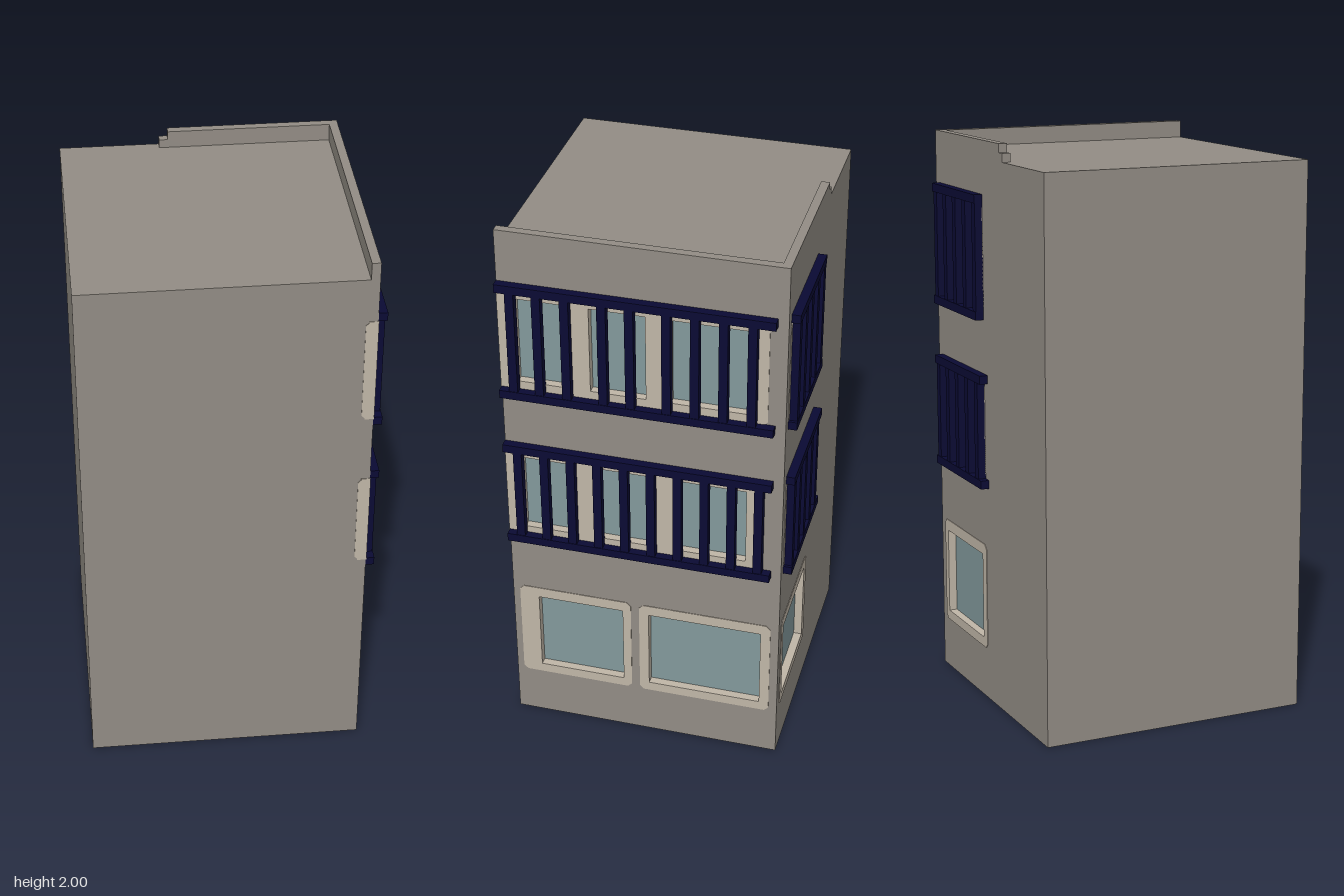
import * as THREE from 'three';

const mat = (name, color, extra = {}) => {
  const m = new THREE.MeshStandardMaterial({ color, ...extra });
  m.name = name;
  return m;
};

export function createModel() {
  const stone = mat('stone', 0x938d85);
  const trim = mat('cream trim', 0xc1b7a8);
  const glass = mat('window glass', 0x839a9c);
  const iron = mat('dark blue railing', 0x0a0a34);
  const T = 0.03; // wall and railing thickness

  const add = (parent, name, geometry, material, x = 0, y = 0, z = 0) => {
    const m = new THREE.Mesh(geometry, material);
    m.name = name;
    m.position.set(x, y, z);
    parent.add(m);
    return m;
  };
  // Box given by its lower and upper corners
  const box = (parent, name, material, [x0, y0, z0], [x1, y1, z1]) =>
    add(parent, name, new THREE.BoxGeometry(x1 - x0, y1 - y0, z1 - z0), material,
      (x0 + x1) / 2, (y0 + y1) / 2, (z0 + z1) / 2);

  // Rectangle with cut corners; the left corners stay square when cl = 0
  const outline = (u0, u1, y0, y1, c, cl = c) => [
    [u0 + cl, y0], [u1 - c, y0], [u1, y0 + c], [u1, y1 - c],
    [u1 - c, y1], [u0 + cl, y1], [u0, y1 - cl], [u0, y0 + cl],
  ];
  const rect = (u0, u1, y0, y1) => [[u0, y0], [u1, y0], [u1, y1], [u0, y1]];
  const toPath = (pts, P = THREE.Path) => new P(pts.map(([u, y]) => new THREE.Vector2(u, y)));
  const slab = (pts, holes, depth) => {
    const s = toPath(pts, THREE.Shape);
    s.holes = holes.map((h) => toPath(h));
    return new THREE.ExtrudeGeometry(s, { depth, bevelEnabled: false });
  };

  // Windowed wall: u runs along the wall, z points outwards
  const facade = (name, pts, windows, railings) => {
    const g = new THREE.Group();
    g.name = name;
    const g2 = 0.003;
    const holes = windows.flatMap((w) => w.panes.map(([a, b]) =>
      rect(a - g2, b + g2, w.y[0] - g2, w.y[1] + g2)));
    add(g, 'wall', slab(pts, holes, T), stone);
    for (const w of windows) {
      const panes = w.panes.map(([a, b]) => rect(a, b, ...w.y));
      const [u0, u1, y0, y1] = w.frame;
      add(g, 'windowFrame', slab(outline(u0, u1, y0, y1, 0.015, w.wraps ? 0 : 0.015), panes, T + 0.002), trim);
      for (const [a, b] of w.panes)
        box(g, 'windowPane', glass, [a, w.y[0], -0.002], [b, w.y[1], 0.003]);
    }
    for (const r of railings) {
      const [u0, u1] = r.u;
      const [y0, y1] = r.y;
      box(g, 'bottomRail', iron, [u0, y0, T], [u1, y0 + 0.03, 2 * T]);
      box(g, 'topRail', iron, [u0, y1 - 0.03, T], [u1, y1, 2 * T]);
      for (const u of r.bars)
        box(g, 'railingBar', iron, [u - 0.015, y0 + 0.03, T], [u + 0.015, y1 - 0.03, 2 * T - 0.002]);
    }
    return g;
  };

  const model = new THREE.Group();
  model.name = 'cornerBuilding';
  box(model, 'buildingCore', stone, [-0.5, 0, -0.44], [0.44, 1.94, 0.5]);

  const lowGlass = [0.22, 0.53], midGlass = [0.84, 1.13], topGlass = [1.44, 1.755];
  const midRail = [0.785, 1.19], topRail = [1.38, 1.815];

  // Side wall with its parapet
  const side = facade('sideFacade', rect(-0.5, 0.47, 0, 2), [
    { y: lowGlass, frame: [-0.475, -0.065, 0.185, 0.57], panes: [[-0.405, -0.095]] },
    { y: lowGlass, frame: [-0.035, 0.44, 0.185, 0.57], panes: [[0, 0.405]] },
    { y: midGlass, frame: [-0.502, 0.38, 0.81, 1.16], wraps: true,
      panes: [[-0.44, -0.27], [-0.165, 0], [0.115, 0.345]] },
    { y: topGlass, frame: [-0.502, 0.41, 1.405, 1.785], wraps: true,
      panes: [[-0.44, -0.27], [-0.19, 0], [0.085, 0.345]] },
  ], [
    { u: [-0.5, 0.435], y: midRail, bars: Array.from({ length: 10 }, (_, i) => -0.45 + i * 0.0935) },
    { u: [-0.5, 0.435], y: topRail, bars: [-0.45, -0.36, -0.265, -0.14, -0.048, 0.075, 0.17, 0.265, 0.36] },
  ]);
  side.rotation.y = Math.PI / 2;
  side.position.x = 0.44;

  // Back wall, whose parapet steps down part of the way along
  const backBars = [-0.41, -0.32, -0.23, -0.137, -0.045];
  const backWindow = (y, y0, y1) => ({ y, frame: [-0.435, -0.03, y0, y1], panes: [[-0.405, -0.065]] });
  const back = facade('backFacade', [
    [-0.44, 0], [0.5, 0], [0.5, 1.94], [0.155, 1.94], [0.155, 1.97], [0.125, 1.97], [0.125, 2], [-0.44, 2],
  ], [
    backWindow(lowGlass, 0.185, 0.57),
    backWindow(midGlass, 0.81, 1.16),
    backWindow(topGlass, 1.405, 1.785),
  ], [
    { u: [-0.435, 0], y: midRail, bars: backBars },
    { u: [-0.435, -0.03], y: topRail, bars: backBars },
  ]);
  back.rotation.y = Math.PI;
  back.position.z = -0.44;
  model.add(side, back);

  // Trim returning around the front corner
  for (const [y0, y1] of [[0.81, 1.16], [1.405, 1.785]]) {
    const pts = [[0.472, y0], [0.472, y1], [0.445, y1], [0.43, y1 - 0.015], [0.43, y0 + 0.015], [0.445, y0]];
    add(model, 'cornerTrim', slab(pts, [], 0.004), trim, 0, 0, 0.498);
  }
  return model;
}
